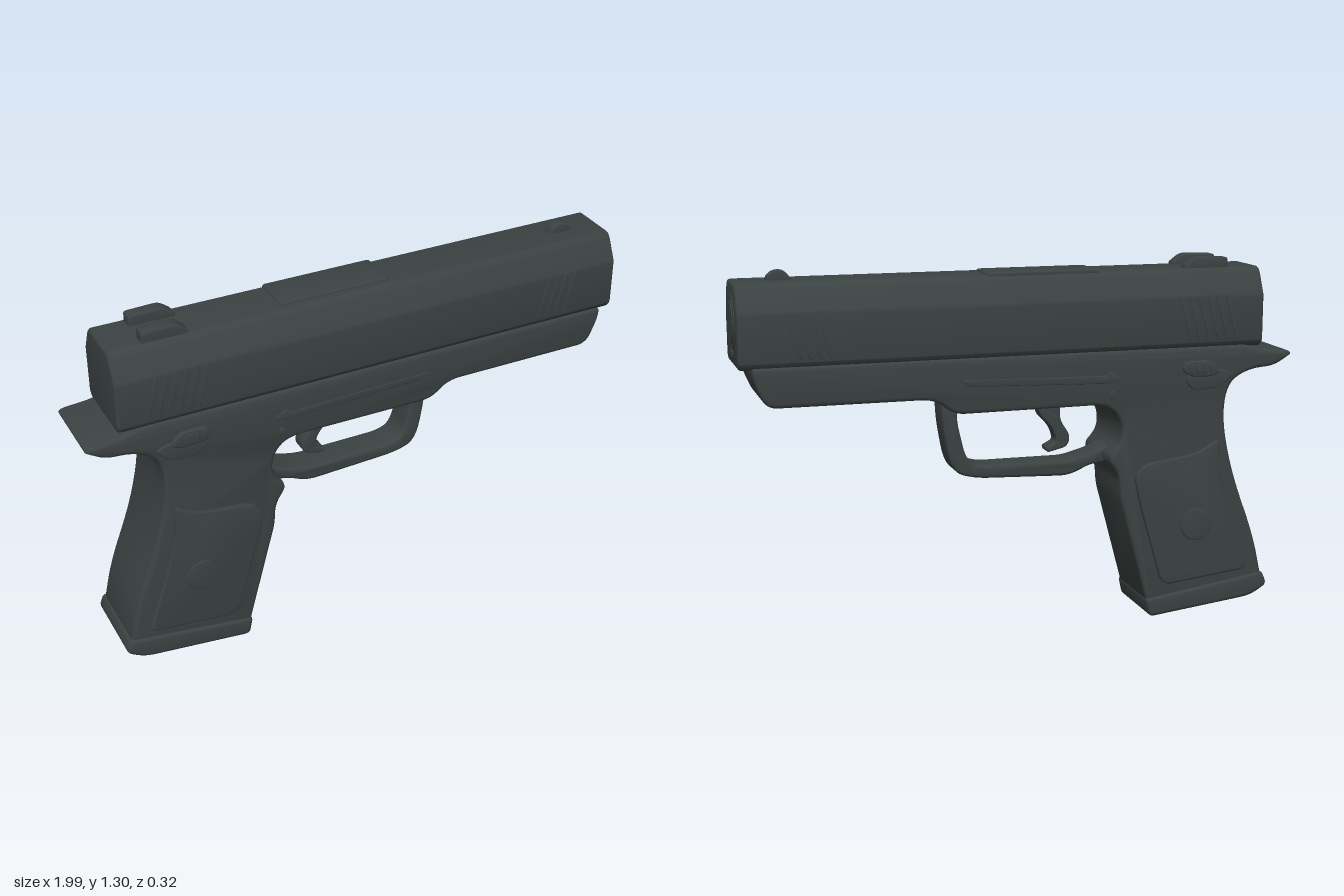
import * as THREE from 'three';
import { toCreasedNormals } from 'three/addons/utils/BufferGeometryUtils.js';

const gunmetal = new THREE.MeshStandardMaterial({ color: 0x3b4342 });
gunmetal.name = 'dark gunmetal';

// Closed polygon with every corner [x, y, radius] rounded off.
function rounded(points) {
  const shape = new THREE.Shape();
  const n = points.length;
  const v = points.map(([x, y]) => new THREE.Vector2(x, y));
  points.forEach(([, , r = 0.012], i) => {
    const p = v[i], a = v[(i + n - 1) % n], b = v[(i + 1) % n];
    const towards = (q) => p.clone().lerp(q, Math.min(0.48, r / p.distanceTo(q)));
    const start = towards(a), end = towards(b);
    if (i === 0) shape.moveTo(start.x, start.y);
    else shape.lineTo(start.x, start.y);
    shape.quadraticCurveTo(p.x, p.y, end.x, end.y);
  });
  shape.closePath();
  return shape;
}

// Extrusion from z0 to z1 whose bevel stays inside the outline.
function solid(shape, z0, z1, bevel = 0.012) {
  const geo = new THREE.ExtrudeGeometry(shape, {
    depth: z1 - z0 - 2 * bevel, curveSegments: 6, bevelEnabled: bevel > 0,
    bevelThickness: bevel, bevelSize: bevel, bevelOffset: -bevel, bevelSegments: 3,
  });
  geo.translate(0, 0, z0 + bevel);
  return toCreasedNormals(geo, 0.6);
}

export function createModel() {
  const model = new THREE.Group();
  model.name = 'pistol';

  const add = (name, geo) => {
    const mesh = new THREE.Mesh(geo, gunmetal);
    mesh.name = name;
    model.add(mesh);
    return mesh;
  };
  const bothSides = (name, shape, z0, z1, bevel) => {
    add(name + 'Left', solid(shape, z0, z1, bevel));
    add(name + 'Right', solid(shape, -z1, -z0, bevel));
  };
  const disc = (x, y, r) => new THREE.Shape().absarc(x, y, r, 0, Math.PI * 2);

  // Slide: chamfered section running along x
  const section = rounded([
    [-0.125, 0.978, 0.01], [0.125, 0.978, 0.01], [0.141, 1.0, 0.01], [0.141, 1.165, 0.01],
    [0.102, 1.245, 0.015], [0.085, 1.26, 0.01], [-0.085, 1.26, 0.01], [-0.102, 1.245, 0.015],
    [-0.141, 1.165, 0.01], [-0.141, 1.0, 0.01],
  ]);
  add('slide', solid(section, -0.88, 0.993, 0.012).rotateY(Math.PI / 2));

  // Slanted grip ribs on the slide
  const ribs = (name, x0, count) => {
    for (let i = 0; i < count; i++) {
      const x = x0 + i * 0.035;
      const rib = rounded([[x, 1.01, 0.003], [x + 0.014, 1.01, 0.003],
        [x + 0.054, 1.168, 0.003], [x + 0.04, 1.168, 0.003]]);
      bothSides(name + i, rib, 0.138, 0.1445, 0.001);
    }
  };
  ribs('rearRib', -0.785, 6);
  ribs('frontRib', 0.675, 4);

  // Port cover on top of the slide
  const port = rounded([[-0.27, 1.25, 0.005], [0.13, 1.25, 0.005],
    [0.13, 1.268, 0.01], [-0.27, 1.268, 0.01]]);
  add('portCover', solid(port, -0.09, 0.06, 0.004));

  // Sights
  const rearSight = rounded([[-0.76, 1.25, 0.004], [-0.6, 1.25, 0.004], [-0.6, 1.268, 0.005],
    [-0.64, 1.298, 0.02], [-0.76, 1.294, 0.01]]);
  for (const z of [-0.059, 0.059]) add('rearSight', solid(rearSight, z - 0.024, z + 0.024, 0.004));
  const frontSight = rounded([[0.785, 1.25, 0.004], [0.875, 1.25, 0.004], [0.875, 1.272, 0.01],
    [0.85, 1.294, 0.02], [0.81, 1.292, 0.02]]);
  add('frontSight', solid(frontSight, -0.019, 0.019, 0.004));

  // Muzzle face rings and guide rod end
  for (const [name, y, r, reach] of [['muzzleRing', 1.125, 0.093, 0.996],
    ['muzzle', 1.125, 0.073, 1.0], ['guideRod', 1.02, 0.02, 0.998]]) {
    const geo = new THREE.CylinderGeometry(r, r, 0.03, 40).rotateZ(-Math.PI / 2);
    add(name, geo).position.set(reach - 0.015, y, 0);
  }

  // Frame and grip in one outline
  const frame = rounded([
    [0.95, 0.985, 0.015], [0.945, 0.94, 0.03], [0.905, 0.848, 0.04], [0.33, 0.848, 0.05],
    [0.265, 0.792, 0.04], [-0.29, 0.795, 0.06], [-0.345, 0.74, 0.05], [-0.35, 0.66, 0.05],
    [-0.295, 0.6, 0.03], [-0.34, 0.53, 0.03], [-0.345, 0.45, 0.03], [-0.45, 0.06, 0.01],
    [-0.905, 0.11, 0.01], [-0.87, 0.27, 0.1], [-0.775, 0.52, 0.12], [-0.732, 0.72, 0.1],
    [-0.75, 0.85, 0.08], [-0.83, 0.895, 0.05], [-0.93, 0.903, 0.03], [-1.0, 0.945, 0.018],
    [-0.98, 0.958, 0.01], [-0.88, 0.965, 0.03], [-0.82, 0.985, 0.03],
  ]);
  add('frameAndGrip', solid(frame, -0.142, 0.142, 0.014));

  // Magazine base plate
  const base = rounded([[-0.905, 0.135, 0.015], [-0.925, 0.085, 0.02], [-0.86, 0.045, 0.04],
    [-0.46, 0.0, 0.02], [-0.445, 0.07, 0.015]]);
  add('basePlate', solid(base, -0.151, 0.151, 0.014));

  // Trigger guard
  const guard = rounded([
    [0.29, 0.83, 0.01], [0.285, 0.74, 0.05], [0.255, 0.57, 0.08], [0.17, 0.542, 0.05],
    [-0.18, 0.528, 0.04], [-0.26, 0.565, 0.03], [-0.32, 0.57, 0.01], [-0.34, 0.64, 0.01],
    [-0.27, 0.607, 0.03], [-0.18, 0.584, 0.03], [0.15, 0.585, 0.05], [0.2, 0.61, 0.05],
    [0.235, 0.76, 0.04], [0.225, 0.83, 0.01],
  ]);
  add('triggerGuard', solid(guard, -0.056, 0.056, 0.01));

  // Trigger
  const trigger = rounded([
    [-0.155, 0.81], [-0.15, 0.73, 0.03], [-0.192, 0.67, 0.03], [-0.18, 0.63, 0.02],
    [-0.105, 0.612, 0.01], [-0.1, 0.63, 0.008], [-0.14, 0.65, 0.015],
    [-0.125, 0.7, 0.03], [-0.075, 0.75, 0.02], [-0.07, 0.81],
  ]);
  add('trigger', solid(trigger, -0.032, 0.032, 0.006));

  // Raised grip panels with a plain round boss
  const panel = rounded([
    [-0.715, 0.65, 0.025], [-0.63, 0.6, 0.06], [-0.43, 0.575, 0.04], [-0.392, 0.53, 0.03],
    [-0.415, 0.43, 0.05], [-0.505, 0.118, 0.04], [-0.838, 0.155, 0.03], [-0.76, 0.38, 0.08],
    [-0.715, 0.54, 0.05],
  ]);
  bothSides('gripPanel', panel, 0.135, 0.155, 0.006);
  bothSides('gripBoss', disc(-0.63, 0.34, 0.06), 0.15, 0.16, 0.003);

  // Safety lever with ribbed thumb pad
  const lever = rounded([[-0.765, 0.885, 0.01], [-0.72, 0.84, 0.03], [-0.61, 0.83, 0.03],
    [-0.58, 0.87, 0.02], [-0.6, 0.9, 0.02], [-0.72, 0.905, 0.03]]);
  bothSides('safetyLever', lever, 0.135, 0.151, 0.004);
  const pad = rounded([[-0.715, 0.895, 0.02], [-0.68, 0.938, 0.03], [-0.58, 0.938, 0.03],
    [-0.565, 0.905, 0.02], [-0.6, 0.882, 0.02], [-0.68, 0.88, 0.02]]);
  bothSides('thumbPad', pad, 0.135, 0.157, 0.004);
  for (let i = 0; i < 4; i++) {
    const x = -0.685 + i * 0.027;
    const ridge = rounded([[x, 0.892, 0.003], [x + 0.01, 0.892, 0.003],
      [x + 0.018, 0.928, 0.003], [x + 0.008, 0.928, 0.003]]);
    bothSides('thumbRidge' + i, ridge, 0.154, 0.161, 0.002);
  }

  // Slide catch and its pin
  const slideCatch = rounded([[-0.34, 0.89, 0.01], [-0.3, 0.872, 0.01], [0.21, 0.888, 0.01],
    [0.245, 0.912, 0.01], [-0.28, 0.9, 0.01], [-0.295, 0.915, 0.005]]);
  bothSides('slideCatch', slideCatch, 0.138, 0.146, 0.002);
  bothSides('framePin', disc(-0.31, 0.832, 0.014), 0.138, 0.147, 0.002);

  return model;
}
